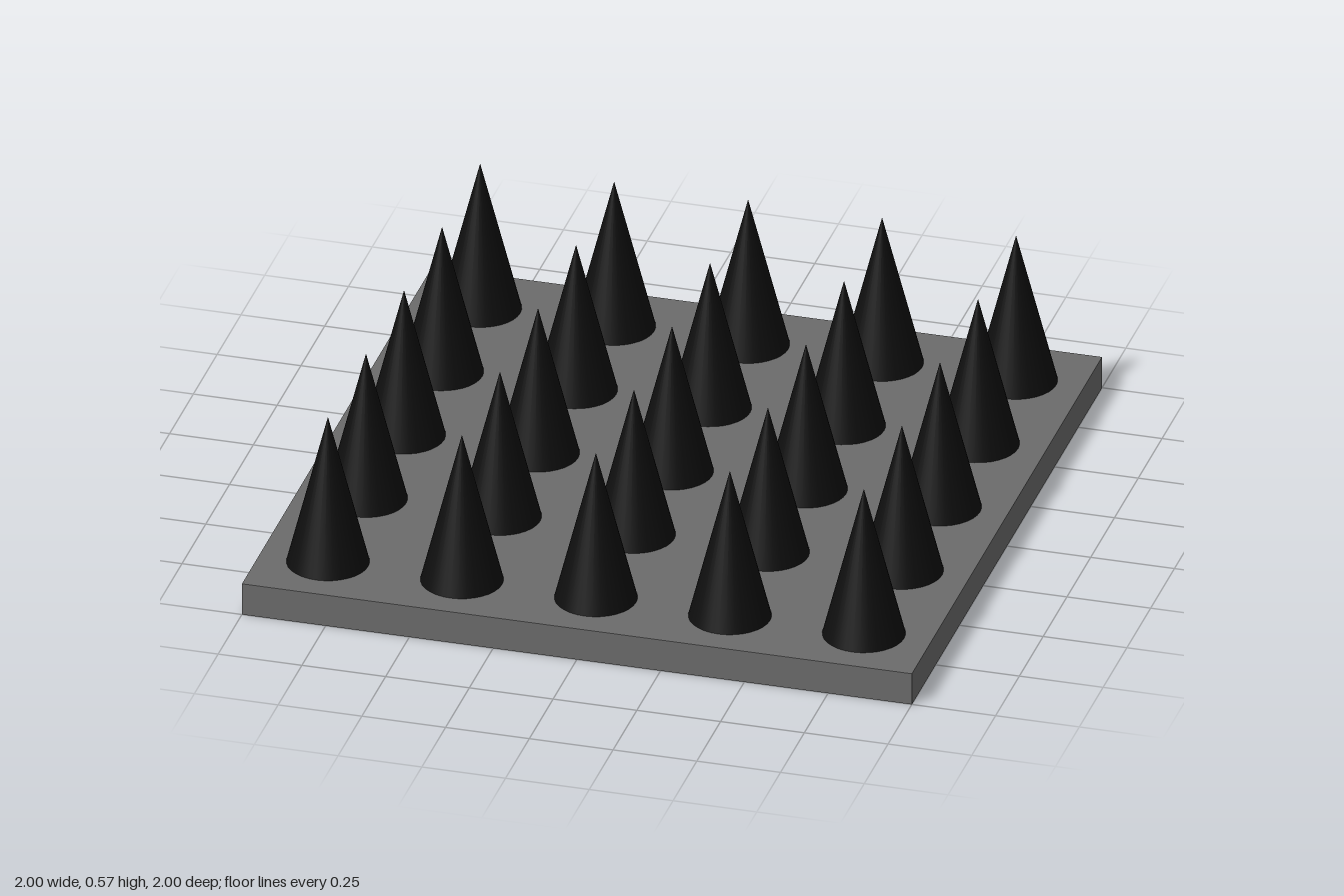
import * as THREE from 'three';

const plateGrey = new THREE.MeshStandardMaterial({ name: 'plateGrey', color: 0x6b6b6b });
const spikeBlack = new THREE.MeshStandardMaterial({ name: 'spikeBlack', color: 0x0e0e0e });

const PLATE_HEIGHT = 0.1;
const SPIKE_HEIGHT = 0.47;
const SPIKE_RADIUS = 0.12;
const SPACING = 0.4;

export function createModel() {
  const model = new THREE.Group();
  model.name = 'spikeTrap';

  // Square base plate
  const plate = new THREE.Mesh(new THREE.BoxGeometry(2, PLATE_HEIGHT, 2), plateGrey);
  plate.name = 'basePlate';
  plate.position.y = PLATE_HEIGHT / 2;
  model.add(plate);

  // Five by five grid of smooth spikes standing on the plate
  const spikes = new THREE.Group();
  spikes.name = 'spikes';
  const cone = new THREE.ConeGeometry(SPIKE_RADIUS, SPIKE_HEIGHT, 32, 1, true);
  for (let row = -2; row <= 2; row++) {
    for (let col = -2; col <= 2; col++) {
      const spike = new THREE.Mesh(cone, spikeBlack);
      spike.name = 'spike';
      spike.position.set(col * SPACING, PLATE_HEIGHT + SPIKE_HEIGHT / 2, row * SPACING);
      spikes.add(spike);
    }
  }
  model.add(spikes);

  return model;
}
